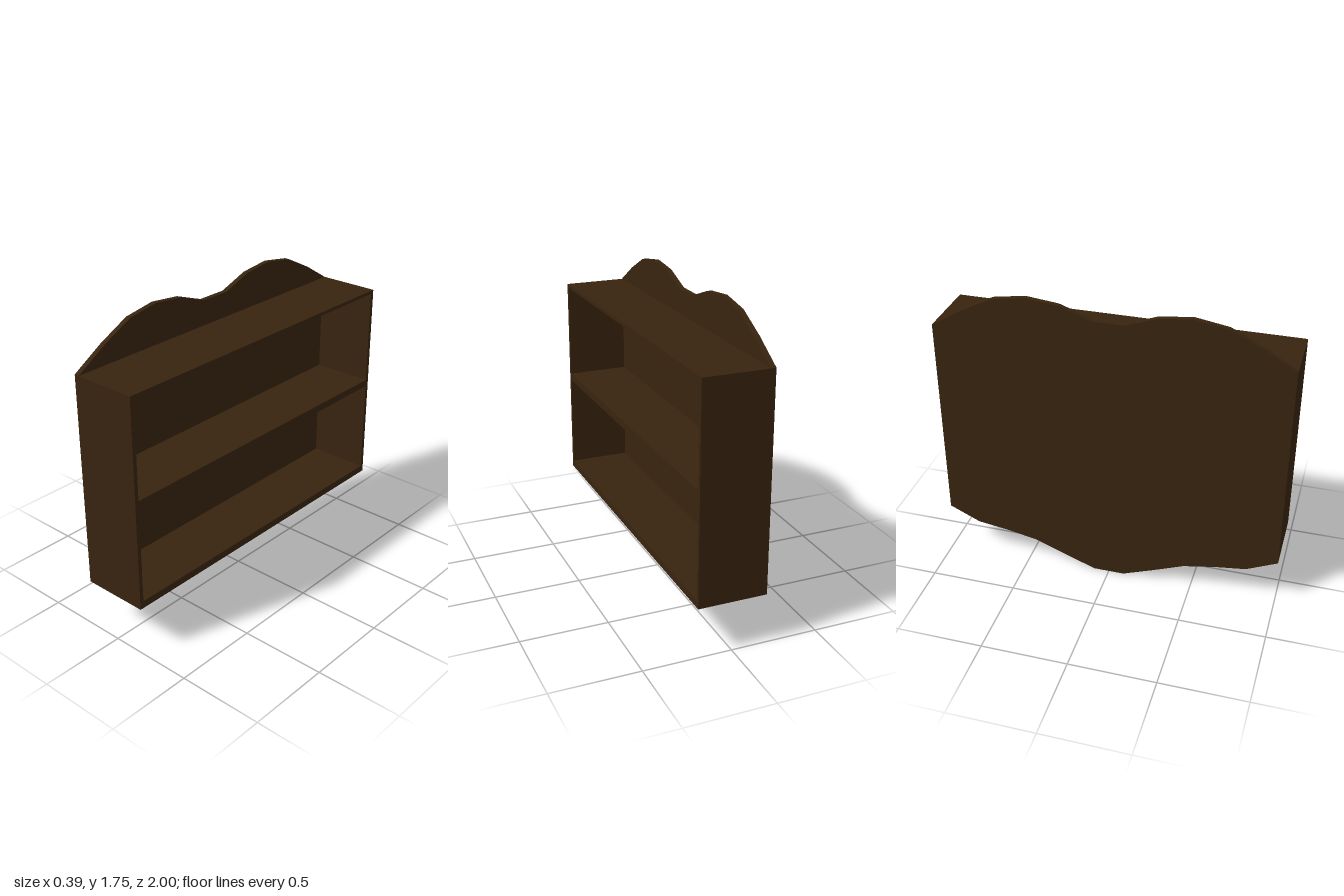
import * as THREE from 'three';

const BACK = -0.197, PANEL_FRONT = -0.168, FRONT = 0.195;

export function createModel() {
  const group = new THREE.Group();
  group.name = 'wallShelf';
  const wood = new THREE.MeshStandardMaterial({ color: 0x38240f });
  wood.name = 'dark brown wood';

  const add = (name, geometry) => {
    const mesh = new THREE.Mesh(geometry, wood);
    mesh.name = name;
    group.add(mesh);
    return mesh;
  };

  // Back panel with scalloped crest and apron, mirrored about the middle
  const crest = [[1, 1.52], [0.82, 1.63], [0.64, 1.72], [0.455, 1.75], [0.27, 1.73], [0.09, 1.665]];
  const apron = [[1, 0.287], [0.82, 0.203], [0.64, 0.178], [0.455, 0.142], [0.27, 0.068], [0.09, 0]];
  const flip = (points) => points.map(([z, y]) => [-z, y]);
  const outline = [
    ...apron, ...flip(apron).reverse(),
    ...flip(crest), ...crest.slice().reverse(),
  ].map(([z, y]) => new THREE.Vector2(z, y));
  const panel = new THREE.ExtrudeGeometry(new THREE.Shape(outline), {
    depth: PANEL_FRONT - BACK, bevelEnabled: false,
  });
  panel.rotateY(Math.PI / 2).translate(BACK, 0, 0);
  add('backPanel', panel);

  // Box between given heights and z limits, reaching from the panel to the open front
  const board = (name, y0, y1, z0, z1) => {
    const box = new THREE.BoxGeometry(FRONT - PANEL_FRONT, y1 - y0, z1 - z0);
    add(name, box).position.set((FRONT + PANEL_FRONT) / 2, (y0 + y1) / 2, (z0 + z1) / 2);
  };

  // Horizontal boards
  board('topBoard', 1.5, 1.52, -1, 1);
  board('middleShelf', 0.895, 0.938, -0.977, 0.977);
  board('bottomBoard', 0.287, 0.33, -1, 1);

  // Side walls
  board('leftWall', 0.33, 1.5, 0.977, 1);
  board('rightWall', 0.33, 1.5, -1, -0.977);

  return group;
}
